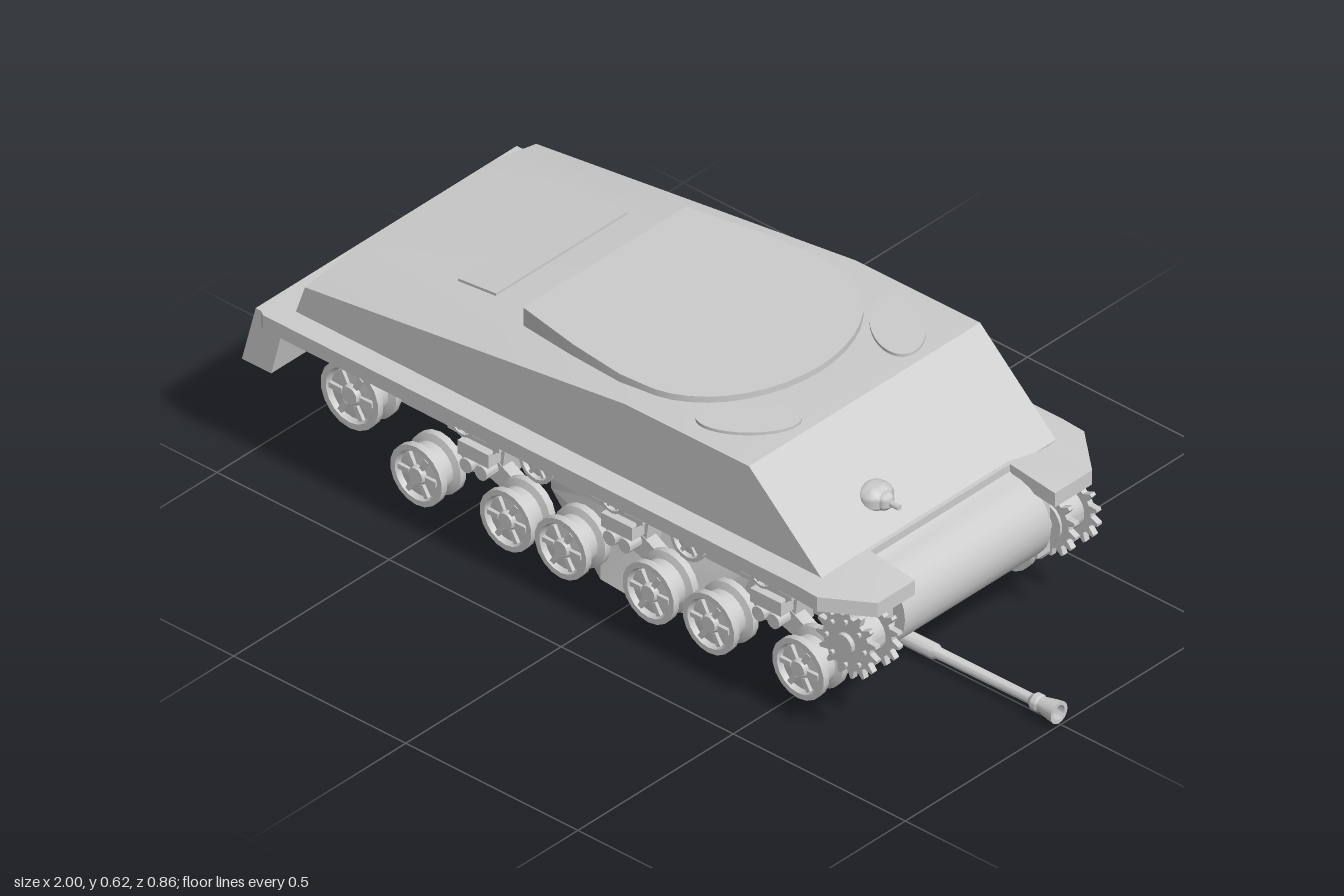
import * as THREE from 'three';
import { toCreasedNormals } from 'three/addons/utils/BufferGeometryUtils.js';

const material = new THREE.MeshStandardMaterial({ color: 0xcccccc });
const V = (x, y, z) => new THREE.Vector3(x, y, z);

function add(parent, name, geometry, x = 0, y = 0, z = 0, crease = 0.6) {
  const mesh = new THREE.Mesh(toCreasedNormals(geometry, crease), material);
  mesh.name = name;
  mesh.position.set(x, y, z);
  parent.add(mesh);
  return mesh;
}

const box = (w, h, d) => new THREE.BoxGeometry(w, h, d);
const axle = (r, length, sides = 14) => new THREE.CylinderGeometry(r, r, length, sides).rotateX(Math.PI / 2);
const shape = (pts) => new THREE.Shape(pts.map(([x, y]) => new THREE.Vector2(x, y)));

// Side profile (x, y) swept from z0 to z1
const sideExtrude = (pts, z0, z1) =>
  new THREE.ExtrudeGeometry(shape(pts), { depth: z1 - z0, bevelEnabled: false }).translate(0, 0, z0);

// Plan outline (x, z) swept from y0 up to y1
const planExtrude = (pts, y0, y1) =>
  new THREE.ExtrudeGeometry(shape(pts), { depth: y1 - y0, bevelEnabled: false }).rotateX(Math.PI / 2).translate(0, y1, 0);

const mirrored = (half) => [...half, ...half.map(([x, z]) => [x, -z]).reverse()];

// Closed skin through rings of equal point counts
function loft(rings) {
  const out = [];
  const n = rings[0].length;
  const tri = (...pts) => pts.forEach((p) => out.push(p.x, p.y, p.z));
  for (let i = 0; i < rings.length - 1; i++) {
    for (let j = 0; j < n; j++) {
      const k = (j + 1) % n;
      const [a, b, c, d] = [rings[i][j], rings[i][k], rings[i + 1][k], rings[i + 1][j]];
      tri(a, b, c);
      tri(a, c, d);
    }
  }
  const first = rings[0], last = rings[rings.length - 1];
  const middle = (ring) => ring.reduce((s, p) => s.add(p), V(0, 0, 0)).divideScalar(n);
  const m0 = middle(first), m1 = middle(last);
  for (let j = 0; j < n; j++) {
    const k = (j + 1) % n;
    tri(m0, first[k], first[j]);
    tri(m1, last[j], last[k]);
  }
  const g = new THREE.BufferGeometry();
  g.setAttribute('position', new THREE.Float32BufferAttribute(out, 3));
  g.computeVertexNormals();
  return g;
}

// Spool-shaped wheel with rim, dished face, hub and six ribs
function wheel(parent, name, x, y, r, w = 0.04, z = 0.335) {
  const group = new THREE.Group();
  group.name = name;
  group.position.set(x, y, z);
  const profile = [[0, -1], [1, -1], [1, -0.55], [0.78, -0.4], [0.78, 0.4], [1, 0.55], [1, 1],
    [0.82, 1], [0.74, 0.7], [0.32, 0.75], [0.26, 1.05], [0, 1.05]];
  const pts = profile.map(([a, b]) => new THREE.Vector2(a * r, b * w));
  add(group, 'rim', new THREE.LatheGeometry(pts, 18).rotateX(Math.PI / 2));
  for (let i = 0; i < 6; i++) {
    const a = (i * Math.PI) / 3;
    const rib = add(group, 'rib', box(r * 0.42, r * 0.16, w * 0.3), Math.cos(a) * r * 0.53, Math.sin(a) * r * 0.53, w * 0.8);
    rib.rotation.z = a;
  }
  parent.add(group);
}

function sprocket(parent) {
  const teeth = 15, pts = [];
  for (let i = 0; i < teeth; i++) {
    for (const [f, r] of [[0, 0.068], [0.35, 0.068], [0.55, 0.088], [0.75, 0.088]]) {
      const a = ((i + f) / teeth) * Math.PI * 2;
      pts.push([Math.cos(a) * r, Math.sin(a) * r]);
    }
  }
  for (const z of [0.277, 0.348]) add(parent, 'sprocketRing', sideExtrude(pts, z, z + 0.015), 0.705, 0.265);
  add(parent, 'sprocketDrum', axle(0.05, 0.09, 18), 0.705, 0.265, 0.315);
  add(parent, 'sprocketHub', axle(0.026, 0.15), 0.705, 0.265, 0.3);
  for (let i = 0; i < 8; i++) {
    const a = (i * Math.PI) / 4;
    add(parent, 'sprocketBolt', axle(0.006, 0.01, 6), 0.705 + Math.cos(a) * 0.055, 0.265 + Math.sin(a) * 0.055, 0.366);
  }
}

// Suspension unit: bracket, springs and arms between a pair of wheels
function bogie(parent, x) {
  const group = new THREE.Group();
  group.name = 'bogie';
  group.position.x = x;
  add(group, 'bracket', sideExtrude([[-0.045, 0.17], [0.045, 0.17], [0.06, 0.28], [-0.06, 0.28]], 0.23, 0.295));
  add(group, 'topPlate', box(0.15, 0.012, 0.08), 0, 0.28, 0.295);
  add(group, 'springHousing', box(0.09, 0.035, 0.06), 0, 0.238, 0.305);
  for (const s of [-1, 1]) {
    add(group, 'spring', axle(0.018, 0.07), s * 0.022, 0.198, 0.3);
    add(group, 'arm', sideExtrude([[0, 0.17], [s * 0.13, 0.125], [s * 0.15, 0.145], [s * 0.13, 0.165], [s * 0.03, 0.22], [0, 0.22]], 0.265, 0.297));
    add(group, 'plateBrace', sideExtrude([[s * 0.07, 0.28], [s * 0.045, 0.25], [s * 0.04, 0.28]], 0.27, 0.32));
  }
  parent.add(group);
}

function runningGear() {
  const side = new THREE.Group();
  side.name = 'runningGear';
  for (const x of [-0.535, -0.275, -0.115, 0.14, 0.315, 0.575]) wheel(side, 'roadWheel', x, 0.143, 0.075);
  wheel(side, 'idlerWheel', -0.73, 0.262, 0.084, 0.038);
  add(side, 'idlerAxle', axle(0.03, 0.12), -0.73, 0.262, 0.27);
  const rollers = [[-0.42, 0.322, 0.034], [-0.205, 0.315, 0.05], [0.015, 0.322, 0.036], [0.235, 0.312, 0.05], [0.45, 0.322, 0.034]];
  for (const [x, y, r] of rollers) {
    wheel(side, 'returnRoller', x, y, r, 0.03, 0.325);
    add(side, 'rollerAxle', axle(0.012, 0.1), x, y, 0.265);
  }
  for (const x of [-0.405, 0.012, 0.445]) bogie(side, x);
  sprocket(side);
  add(side, 'finalDrive', box(0.13, 0.15, 0.04), 0.66, 0.27, 0.25);
  // Mudflap at the rear corner
  add(side, 'mudflap', sideExtrude([[-1, 0.26], [-0.915, 0.26], [-0.885, 0.375], [-0.9, 0.41], [-0.96, 0.41]], 0.228, 0.42));
  return side;
}

function upperHull(parent) {
  // Stations: edge x, edge y, centre x, centre y
  const stations = [[-0.89, 0.4, -0.89, 0.4], [-0.86, 0.485, -0.84, 0.53], [-0.35, 0.55, -0.35, 0.578],
    [0.07, 0.603, 0.07, 0.604], [0.43, 0.605, 0.43, 0.605], [0.65, 0.4, 0.65, 0.4]];
  const rings = stations.map(([xe, ye, xm, ym], i) => {
    const xb = i === 0 ? -0.89 : xe;
    return [V(xb, 0.39, -0.372), V(xe, ye, -0.372), V(xm, ym, -0.22), V(xm, ym, 0.22), V(xe, ye, 0.372), V(xb, 0.39, 0.372)];
  });
  add(parent, 'upperHull', loft(rings), 0, 0, 0, 0.3);

  // Fender pan with two front prongs that dip slightly
  const pan = planExtrude(mirrored([[-0.96, 0.41], [-0.93, 0.43], [0.62, 0.43], [0.68, 0.43], [0.78, 0.345], [0.78, 0.225], [0.65, 0.225]]), 0.373, 0.41);
  const p = pan.attributes.position;
  for (let i = 0; i < p.count; i++) p.setY(i, p.getY(i) - Math.max(0, p.getX(i) - 0.65) * 0.13);
  pan.computeVertexNormals();
  add(parent, 'fenders', pan, 0, 0, 0, 0.3);

  // Lower hull with rounded nose
  const nose = [];
  for (let i = 0; i <= 12; i++) {
    const a = -Math.PI / 2 + (i / 12) * Math.PI;
    nose.push([0.655 + Math.cos(a) * 0.105, 0.284 + Math.sin(a) * 0.103]);
  }
  add(parent, 'lowerHull', sideExtrude([[-0.89, 0.4], [-0.945, 0.28], [-0.84, 0.19], ...nose, [0.64, 0.4]], -0.235, 0.235));
}

function deckDetails(parent) {
  const half = [[-0.325, 0.262], [-0.15, 0.295], [0, 0.312], [0.06, 0.308]];
  for (let i = 1; i <= 9; i++) {
    const a = Math.PI / 2 - (i / 10) * (Math.PI / 2);
    half.push([0.06 + Math.cos(a) * 0.24, Math.sin(a) * 0.308]);
  }
  half.push([0.3, 0.01]);
  add(parent, 'turretRingPlate', planExtrude(mirrored(half), 0.54, 0.62));
  for (const s of [-1, 1]) {
    const hatch = add(parent, 'crewHatch', new THREE.CylinderGeometry(1, 1, 0.012, 32).scale(0.115, 1, 0.06), 0.31, 0.606, s * 0.24);
    hatch.rotation.y = s * 0.72;
  }
  add(parent, 'engineHatch', sideExtrude([[-0.56, 0.54], [-0.45, 0.55], [-0.45, 0.575], [-0.56, 0.564]], -0.212, 0.212));
  // Bow machine gun in the front plate
  add(parent, 'gunBlister', new THREE.SphereGeometry(1, 20, 12).scale(0.04, 0.033, 0.045), 0.57, 0.467, 0.122, 1);
  add(parent, 'gunBall', new THREE.SphereGeometry(0.024, 16, 10), 0.595, 0.467, 0.122, 1);
  add(parent, 'gunBarrel', new THREE.CylinderGeometry(0.007, 0.007, 0.06, 10).rotateZ(Math.PI / 2), 0.612, 0.467, 0.122);
}

function turret(parent) {
  const group = new THREE.Group();
  group.name = 'turret';
  const levels = [
    [0.035, [[-0.28, 0.09], [-0.22, 0.2], [-0.08, 0.285], [0.06, 0.295], [0.17, 0.25], [0.23, 0.18]]],
    [0.13, [[-0.39, 0.1], [-0.3, 0.2], [-0.1, 0.26], [0.08, 0.265], [0.21, 0.24], [0.28, 0.18]]],
    [0.2, [[-0.4, 0.1], [-0.31, 0.19], [-0.1, 0.24], [0.1, 0.245], [0.25, 0.22], [0.33, 0.17]]],
    [0.3, [[-0.38, 0.08], [-0.3, 0.17], [-0.1, 0.22], [0.1, 0.22], [0.24, 0.2], [0.3, 0.15]]],
  ];
  add(group, 'turretShell', loft(levels.map(([y, half]) => mirrored(half).map(([x, z]) => V(x, y, z)))), 0, 0, 0, 0.45);
  // Gun shield: a frame with a raised face
  add(group, 'shieldFrame', sideExtrude([[0.1, 0.03], [0.23, 0.03], [0.27, 0.08], [0.32, 0.19], [0.1, 0.19]], -0.185, 0.195));
  add(group, 'shieldFace', sideExtrude([[0.2, 0.065], [0.275, 0.065], [0.345, 0.19], [0.2, 0.19]], -0.145, 0.165));

  // Main gun: stepped tube with a flared muzzle, tilted slightly upward
  const profile = [[0, 0.07], [0.024, 0.07], [0.024, 0.13], [0.021, 0.14], [0.019, 0.36], [0.018, 0.64], [0.0135, 0.65],
    [0.0125, 0.92], [0.021, 0.932], [0.021, 0.945], [0.018, 0.95], [0.025, 0.985], [0.027, 1], [0.018, 1], [0.018, 0.98], [0, 0.98]];
  const gun = add(group, 'mainGun', new THREE.LatheGeometry(profile.map(([r, x]) => new THREE.Vector2(r, x)), 20).rotateZ(-Math.PI / 2), 0, 0.027, 0.005);
  gun.rotation.z = 0.01;
  parent.add(group);
}

export function createModel() {
  const model = new THREE.Group();
  model.name = 'tank';
  upperHull(model);
  deckDetails(model);
  turret(model);
  const left = runningGear();
  const right = runningGear();
  right.scale.z = -1;
  model.add(left, right);
  return model;
}
